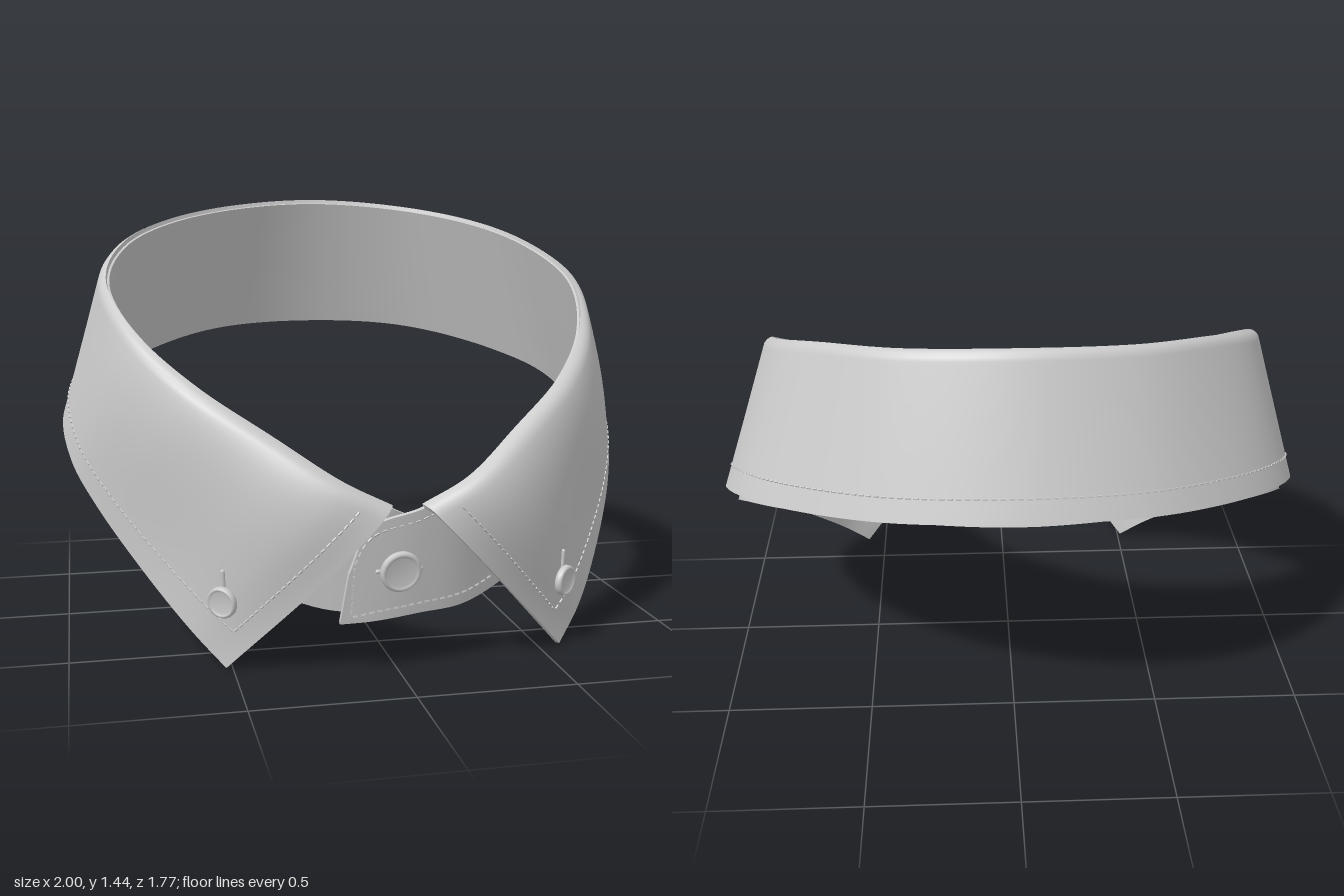
import * as THREE from 'three';
import { mergeGeometries } from 'three/addons/utils/BufferGeometryUtils.js';

const V = (x, y, z) => new THREE.Vector3(x, y, z);
const mat = new THREE.MeshStandardMaterial({ color: 0xcccccc, side: THREE.DoubleSide });

// half outlines, from the front opening round to the centre back
const FOLD = [[.05, .55, .835], [.2, .625, .82], [.39, .75, .715], [.6, .89, .57], [.755, 1.03, .37],
  [.838, 1.185, .07], [.765, 1.305, -.25], [.615, 1.375, -.45], [.35, 1.43, -.645], [0, 1.455, -.72]];
const EDGE = [[.545, .012, .64], [.64, .115, .57], [.76, .26, .43], [.9, .45, .22], [.97, .575, .06],
  [.99, .7, -.12], [.91, .8, -.36], [.73, .875, -.59], [.4, .945, -.81], [0, .975, -.89]];
const BASE = [[.07, .19, .755], [.22, .2, .72], [.42, .265, .62], [.66, .35, .42], [.84, .45, .2],
  [.94, .605, -.06], [.9, .76, -.33], [.725, .855, -.56], [.4, .935, -.785], [0, .955, -.87]];

// mirror a half outline into a full run from +x front, round the back, to -x front
const full = (half, shift) => {
  const run = s => half.map(([x, y, z]) => V(s * x + shift(z), y, z));
  return [...run(1), ...run(-1).reverse().slice(1)];
};
const foldPts = full(FOLD, z => z > 0 ? .04 * z * z - .015 : -.015 * (1 - z * z / .52));
const edgePts = full(EDGE, z => .045 * Math.max(0, z));
const basePts = full(BASE, () => 0);

// band top sits just inside the fold; its ends overlap at the front
const bandTop = foldPts.map(p => {
  const l = Math.hypot(p.x, p.z);
  return V(p.x * (1 - .016 / l), p.y - .014, p.z * (1 - .016 / l));
});
for (let i = 0; i < 2; i++) {
  bandTop[18 - i].z -= .03;
  basePts[18 - i].z -= .03;
}
const top = [V(-.165, .34, .805), V(-.1, .48, .815), ...bandTop, V(.08, .47, .745), V(.16, .36, .715)];
const bottom = [V(-.19, .18, .79), V(-.08, .18, .78), ...basePts, V(.07, .19, .715), V(.17, .2, .7)];

const curve = pts => new THREE.CatmullRomCurve3(pts);
const foldC = curve(foldPts), edgeC = curve(edgePts), topC = curve(top), bottomC = curve(bottom);

// surfaces: u runs round the neck, v runs downward
function fallAt(u, v) {
  const p = foldC.getPoint(u), e = edgeC.getPoint(u);
  const out = V(p.x, 0, p.z).normalize();
  const front = THREE.MathUtils.smoothstep(p.z, .1, .8);
  const roll = Math.pow(1 - Math.min(1, v / .05), 2);
  const q = p.lerp(e, v);
  q.addScaledVector(out, .068 * front * Math.sin(Math.PI * Math.pow(v, .6)) - .014 * roll);
  q.y -= .008 * roll;
  return q;
}
const bandAt = (u, v) => topC.getPoint(u).lerp(bottomC.getPoint(u), v);

function frame(f, u, v) {
  const h = .002, a = Math.max(0, u - h), b = Math.min(1, u + h);
  const c = Math.max(0, v - h), d = Math.min(1, v + h);
  const du = f(b, v).sub(f(a, v)), dv = f(u, d).sub(f(u, c));
  return { p: f(u, v), normal: dv.cross(du).normalize() };
}

// cloth with thickness: outer and inner skins plus a rim
function cloth(name, f, nu, nv, thick) {
  const pos = [], index = [], W = nv + 1, skins = [[], []];
  for (let i = 0; i <= nu; i++) for (let j = 0; j <= nv; j++) {
    const { p, normal } = frame(f, i / nu, Math.pow(j / nv, 1.4));
    [1, -1].forEach((s, k) => skins[k].push(p.clone().addScaledVector(normal, s * thick / 2)));
  }
  skins.forEach((skin, k) => {
    const o = k * skin.length;
    skin.forEach(p => pos.push(p.x, p.y, p.z));
    for (let i = 0; i < nu; i++) for (let j = 0; j < nv; j++) {
      const a = o + i * W + j, b = a + W;
      if (k) index.push(a, b, a + 1, b, b + 1, a + 1);
      else index.push(a, a + 1, b, b, a + 1, b + 1);
    }
  });
  const rim = [];
  for (let j = 0; j < nv; j++) rim.push(j);
  for (let i = 0; i < nu; i++) rim.push(i * W + nv);
  for (let j = nv; j > 0; j--) rim.push(nu * W + j);
  for (let i = nu; i >= 0; i--) rim.push(i * W);
  const start = pos.length / 3;
  rim.forEach(r => skins.forEach(s => pos.push(s[r].x, s[r].y, s[r].z)));
  for (let i = 0; i < rim.length - 1; i++) {
    const a = start + 2 * i;
    index.push(a, a + 1, a + 2, a + 1, a + 3, a + 2);
  }
  const g = new THREE.BufferGeometry();
  g.setAttribute('position', new THREE.Float32BufferAttribute(pos, 3));
  g.setIndex(index);
  g.computeVertexNormals();
  const m = new THREE.Mesh(g, mat);
  m.name = name;
  return m;
}

// dashed stitching along straight runs in (u, v)
function stitches(name, f, runs, lift) {
  const dashes = [];
  for (const [[u0, v0], [u1, v1]] of runs) {
    const pts = [];
    for (let i = 0; i <= 60; i++) {
      const { p, normal } = frame(f, u0 + (u1 - u0) * i / 60, v0 + (v1 - v0) * i / 60);
      pts.push(p.addScaledVector(normal, lift));
    }
    const c = curve(pts), n = Math.round(c.getLength() / .026);
    for (let i = 0; i < n; i++) {
      const t = (i + .5) / n, g = new THREE.BoxGeometry(.005, .005, .016);
      const q = new THREE.Quaternion().setFromUnitVectors(V(0, 0, 1), c.getTangentAt(t));
      dashes.push(g.applyQuaternion(q).translate(...c.getPointAt(t).toArray()));
    }
  }
  const m = new THREE.Mesh(mergeGeometries(dashes), mat);
  m.name = name;
  return m;
}

// rimmed button over a raised buttonhole, laid upright on a surface
function button(name, f, u, v, r, vertical) {
  const { p, normal } = frame(f, u, v);
  const right = V(0, 1, 0).cross(normal).normalize();
  const down = right.clone().cross(normal);
  const g = new THREE.Group();
  g.name = name;
  const profile = [[0, .018], [.7, .018], [.8, .024], [.93, .024], [1, .017], [1, .006], [.9, 0], [0, 0]];
  const disc = new THREE.Mesh(new THREE.LatheGeometry(
    profile.map(([x, y]) => new THREE.Vector2(x * r, y)).reverse(), 32), mat);
  disc.name = 'buttonDisc';
  disc.position.y = .006;
  const hole = new THREE.Mesh(new THREE.CapsuleGeometry(.007, vertical ? .09 : .14, 4, 8), mat);
  hole.name = 'buttonhole';
  if (vertical) {
    hole.rotation.x = Math.PI / 2;
    hole.position.z = -.05;
  } else hole.rotation.z = Math.PI / 2;
  hole.position.y = .004;
  g.add(disc, hole);
  g.quaternion.setFromRotationMatrix(new THREE.Matrix4().makeBasis(right, normal, down));
  g.position.copy(p).addScaledVector(normal, .006);
  return g;
}

export function createModel() {
  const model = new THREE.Group();
  model.name = 'shirtCollar';
  const inset = .45 / 18, low = .85;
  model.add(
    cloth('collarFall', fallAt, 160, 28, .016),
    cloth('collarBand', bandAt, 160, 16, .014),
    stitches('fallStitching', fallAt, [[[inset, .07], [inset, low]], [[inset, low], [1 - inset, low]],
      [[1 - inset, low], [1 - inset, .07]]], .009),
    stitches('tabStitching', bandAt, [[[.14, .1], [.014, .1]], [[.014, .1], [.014, .9]],
      [[.014, .9], [.16, .9]]], .008),
    button('leftPointButton', fallAt, 1 / 18, .76, .05, true),
    button('rightPointButton', fallAt, 17 / 18, .76, .05, true),
    button('bandButton', bandAt, 1.55 / 22, .52, .065, false),
  );
  return model;
}
